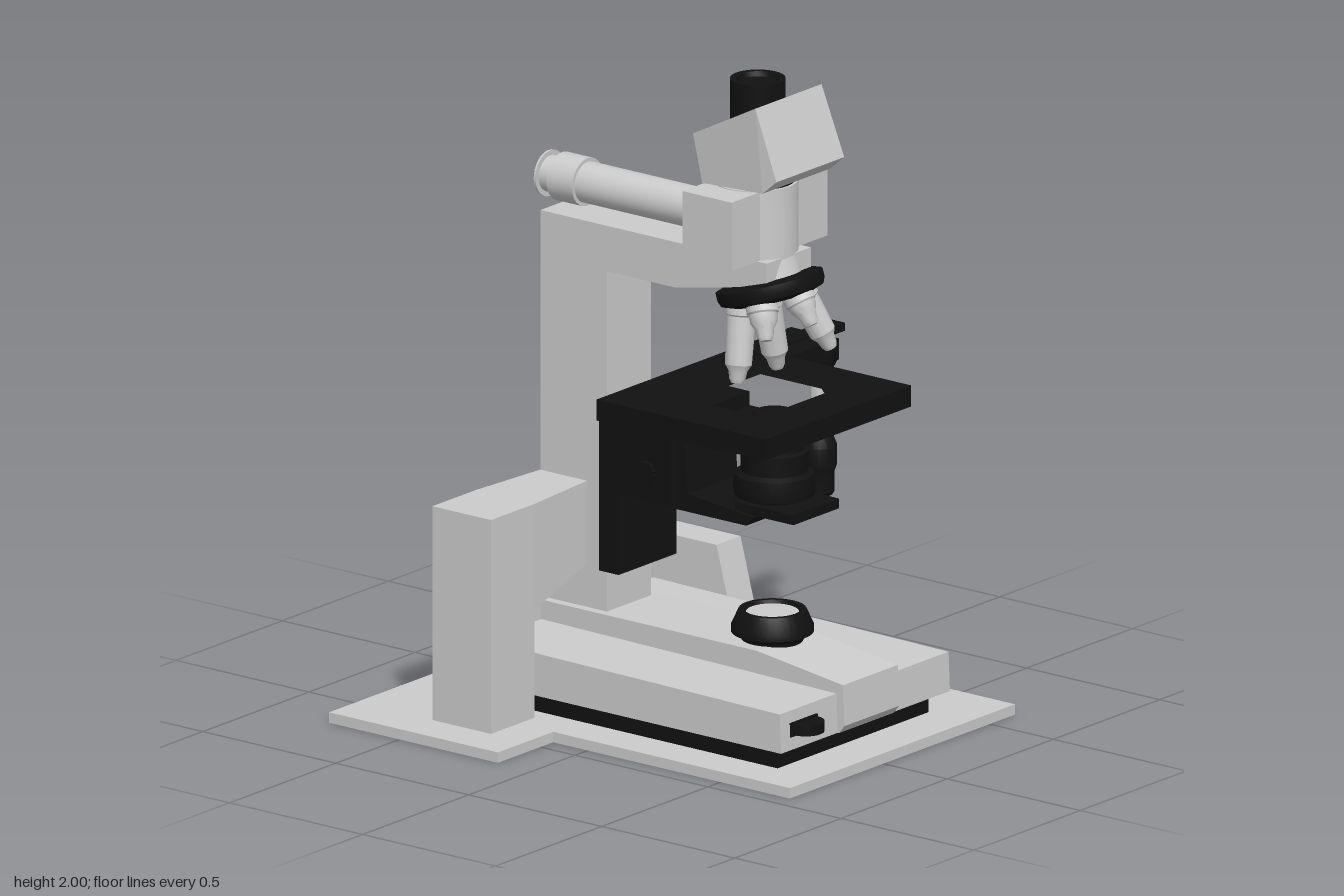
import * as THREE from 'three';
import { toCreasedNormals } from 'three/addons/utils/BufferGeometryUtils.js';

const grey = new THREE.MeshStandardMaterial({ color: 0xcccccc });
const black = new THREE.MeshStandardMaterial({ color: 0x111111 });
const CX = 0.048; // optical axis in x

export function createModel() {
  const root = new THREE.Group();

  const add = (name, geo, mat = grey, parent = root) => {
    const mesh = new THREE.Mesh(geo, mat);
    mesh.name = name;
    parent.add(mesh);
    return mesh;
  };
  // Box from its limits
  const box = (name, x0, x1, y0, y1, z0, z1, mat) =>
    add(name, new THREE.BoxGeometry(x1 - x0, y1 - y0, z1 - z0)
      .translate((x0 + x1) / 2, (y0 + y1) / 2, (z0 + z1) / 2), mat);
  const makeShape = pts => new THREE.Shape(pts.map(p => new THREE.Vector2(...p)));
  const extrude = (shape, depth) =>
    new THREE.ExtrudeGeometry(shape, { depth, bevelEnabled: false, curveSegments: 10 });
  // Side outline of [z, y] points, spanning x0 to x1
  const sideGeo = (pts, x0, x1) =>
    extrude(makeShape(pts), x1 - x0).rotateY(-Math.PI / 2).translate(x1, 0, 0);
  // Plan outline of [x, z] points, with holes, spanning y0 to y1
  const planGeo = (pts, y0, y1, holes = []) => {
    const flip = list => list.map(([x, z]) => [x, -z]);
    const s = makeShape(flip(pts));
    holes.forEach(h => s.holes.push(makeShape(flip(h))));
    return extrude(s, y1 - y0).rotateX(-Math.PI / 2).translate(0, y0, 0);
  };
  // Turned solid from [radius, height] points, closed at both ends
  const turn = (pts, seg = 32) => {
    const closed = [[0, pts[0][1]], ...pts, [0, pts.at(-1)[1]]];
    return toCreasedNormals(new THREE.LatheGeometry(closed.map(p => new THREE.Vector2(...p)), seg), 0.5);
  };
  // Fluted knob with its axis along x, starting at x
  const knob = (name, x, y, z, r, len, teeth = 20) => {
    const pts = [];
    for (let i = 0; i < teeth * 2; i++) {
      const a = (i * Math.PI) / teeth, q = i % 2 ? r : r * 0.9;
      pts.push([Math.cos(a) * q, Math.sin(a) * q]);
    }
    add(name, extrude(makeShape(pts), len).rotateY(Math.PI / 2).translate(x, y, z), black);
  };

  // Base plate and illuminated foot
  add('basePlate', planGeo([[-0.7, -0.765], [0.62, -0.765], [0.62, 0.76], [-0.44, 0.76],
    [-0.44, -0.13], [-0.7, -0.13]], 0, 0.032));
  box('footPad', -0.31, 0.4, 0.032, 0.095, -0.42, 0.61, black);
  const wing = [[0.655, 0.095], [0.65, 0.215], [-0.46, 0.228], [-0.46, 0.095]];
  add('footRightWing', sideGeo(wing, -0.35, -0.083));
  add('footLeftWing', sideGeo(wing, 0.175, 0.445));
  add('footRidge', sideGeo([[0.66, 0.095], [0.68, 0.12], [0.675, 0.245], [0.35, 0.288],
    [-0.46, 0.288], [-0.46, 0.095]], -0.083, 0.175));
  add('lightCollar', turn([[0.09, 0.28], [0.095, 0.295], [0.122, 0.31], [0.122, 0.33], [0.1, 0.378],
    [0.085, 0.378], [0.08, 0.365]]), black).position.set(CX, 0, 0.305);
  add('lightLens', turn([[0.078, 0.36], [0.078, 0.369]])).position.set(CX, 0, 0.305);
  add('dimmerWheel', turn([[0.055, 0.14], [0.055, 0.172]])  , black).position.set(-0.24, 0, 0.66);
  box('dimmerPanel', -0.305, -0.18, 0.135, 0.178, 0.64, 0.658, black);

  // Pillar and arm in one outline
  add('pillarAndArm', sideGeo([[-0.485, 0.04], [-0.485, 1.475], [0.365, 1.475], [0.365, 1.405],
    [0.2, 1.37], [0.02, 1.335], [-0.235, 1.335], [-0.235, 0.04]], -0.055, 0.153));

  // Rear lamp housing, side power unit and their knobs
  box('rearHousing', -0.078, 0.175, 0.032, 0.375, -0.748, -0.497);
  knob('rearKnob', 0.175, 0.22, -0.635, 0.072, 0.03);
  knob('rearKnobWheel', 0.195, 0.22, -0.635, 0.09, 0.045, 24);
  knob('rearKnobCap', 0.235, 0.22, -0.635, 0.065, 0.033);
  add('sideUnit', sideGeo([[-0.155, 0.045], [-0.24, 0.365], [-0.495, 0.365], [-0.495, 0.045]], 0.467, 0.58));
  knob('sideUnitKnob', 0.58, 0.27, -0.375, 0.028, 0.015, 12);
  knob('sideUnitKnobWheel', 0.593, 0.27, -0.375, 0.04, 0.032, 14);

  // Bent support beside the pillar, narrowing toward it
  const support = extrude(makeShape([[-0.57, 0.032], [-0.365, 0.032], [-0.365, 0.365], [-0.09, 0.435],
    [-0.09, 0.69], [-0.365, 0.69], [-0.57, 0.69]]), 0.22).translate(0, 0, -0.48);
  const sp = support.attributes.position;
  for (let i = 0; i < sp.count; i++)
    if (sp.getX(i) > -0.1) sp.setZ(i, -0.37 + (sp.getZ(i) + 0.37) * 0.8);
  support.computeVertexNormals();
  add('sideSupport', support);
  knob('supportKnob', -0.095, 0.56, -0.38, 0.07, 0.04);

  // Head: wide block, round core, prism housing and eyepiece
  box('headBlock', -0.175, 0.275, 1.475, 1.685, 0.145, 0.33);
  add('headCore', turn([[0.128, 1.472], [0.128, 1.688]], 40)).position.set(CX, 0, 0.24);
  add('headNeck', turn([[0.11, 1.66], [0.11, 1.72]]), black).position.set(CX, 0, 0.25);
  const prism = sideGeo([[0.365, 1.965], [0.1, 1.828], [0.14, 1.685], [0.395, 1.71], [0.447, 1.755]], -0.5, 0.5);
  const pp = prism.attributes.position;
  for (let i = 0; i < pp.count; i++) {
    const half = THREE.MathUtils.mapLinear(pp.getZ(i), 0.1, 0.38, 0.118, 0.158);
    pp.setX(i, CX + Math.sign(pp.getX(i)) * Math.min(half, 0.16));
  }
  prism.computeVertexNormals();
  add('prismHousing', prism);
  add('eyepiece', turn([[0.082, 1.8], [0.082, 2], [0.065, 2], [0.06, 1.985]]), black).position.set(CX, 0, 0.25);

  // Horizontal tube behind the head
  const tube = add('rearTube', turn([[0.045, -0.14], [0.05, -0.12], [0.062, -0.1], [0.062, 0.39],
    [0.073, 0.39], [0.073, 0.487], [0.055, 0.487], [0.055, 0.53], [0.07, 0.53], [0.07, 0.537]]));
  tube.rotation.x = -Math.PI / 2;
  tube.position.set(CX, 1.555, 0);

  // Tilted turret with five objectives
  const turret = new THREE.Group();
  turret.name = 'turret';
  turret.position.set(CX, 1.365, 0.298);
  turret.rotation.x = -0.3;
  root.add(turret);
  add('turretDisc', turn([[0.12, -0.035], [0.155, -0.022], [0.162, -0.005], [0.162, 0.02], [0.14, 0.028]], 40), black, turret);
  add('turretMount', turn([[0.1, 0.02], [0.1, 0.08]]), grey, turret);
  [0.12, 0.22, 0.25, 0.25, 0.13].forEach((len, i) => {
    const swing = new THREE.Group();
    swing.rotation.y = (i * Math.PI * 2) / 5;
    turret.add(swing);
    const lens = add('objective' + (i + 1), turn([[0.018, -len], [0.024, -len + 0.012], [0.028, -len + 0.035],
      [0.04, -len + 0.055], [0.043, -0.05], [0.048, -0.045], [0.048, 0]], 24), grey, swing);
    lens.position.set(0, -0.015, 0.088);
    lens.rotation.x = -0.3;
  });

  // Stage with its opening, slide bar and drive knob
  add('stage', planGeo([[-0.335, -0.05], [0.58, -0.05], [0.58, 0.13], [0.35, 0.13], [0.35, 0.585], [-0.335, 0.585]],
    0.98, 1.045, [[[-0.17, 0.17], [0.16, 0.17], [0.16, 0.4], [0.13, 0.435], [-0.17, 0.435]]]), black);
  box('slideBar', 0.3, 0.7, 1.025, 1.05, 0, 0.057, black);
  add('driveCollar', turn([[0.03, 0.935], [0.045, 0.96], [0.055, 0.98], [0.055, 1.03]]), black).position.set(0.54, 0, 0.085);
  add('driveRod', turn([[0.024, 0.74], [0.024, 0.95]])).position.set(0.54, 0, 0.085);
  add('driveKnob', turn([[0.042, 0.57], [0.048, 0.58], [0.048, 0.64], [0.055, 0.66], [0.055, 0.72],
    [0.04, 0.76]], 16), black).position.set(0.54, 0, 0.085);

  // Focus slide and carriage under the stage
  box('focusSlide', -0.088, 0.185, 0.422, 0.94, -0.238, -0.165, black);
  add('carriage', sideGeo([[-0.18, 0.66], [0.3, 0.66], [0.33, 0.69], [0.08, 0.715], [0.07, 0.87], [0.2, 0.87],
    [0.25, 0.92], [0.43, 0.925], [0.43, 0.94], [-0.18, 0.94]], -0.07, 0.165), black);
  for (const [name, x0, x1] of [['rightRail', -0.1, -0.065], ['leftRail', 0.16, 0.2]])
    box(name, x0, x1, 0.68, 0.945, -0.2, 0.04, black);
  box('stageMount', -0.06, 0.16, 0.93, 0.985, -0.04, 0.13, black);
  knob('carriageKnobLeft', 0.19, 0.765, -0.05, 0.035, 0.02, 14);
  knob('carriageKnobRight', -0.11, 0.765, -0.05, 0.035, 0.02, 14);

  // Condenser
  add('condenser', turn([[0.085, 0.69], [0.09, 0.725], [0.118, 0.735], [0.122, 0.76], [0.118, 0.8], [0.1, 0.81],
    [0.1, 0.87], [0.088, 0.875], [0.085, 0.93], [0.06, 0.985], [0.045, 0.99]]), black).position.set(CX, 0, 0.312);
  box('condenserPlate', -0.06, 0.155, 0.692, 0.722, 0.25, 0.47, black);

  return root;
}
